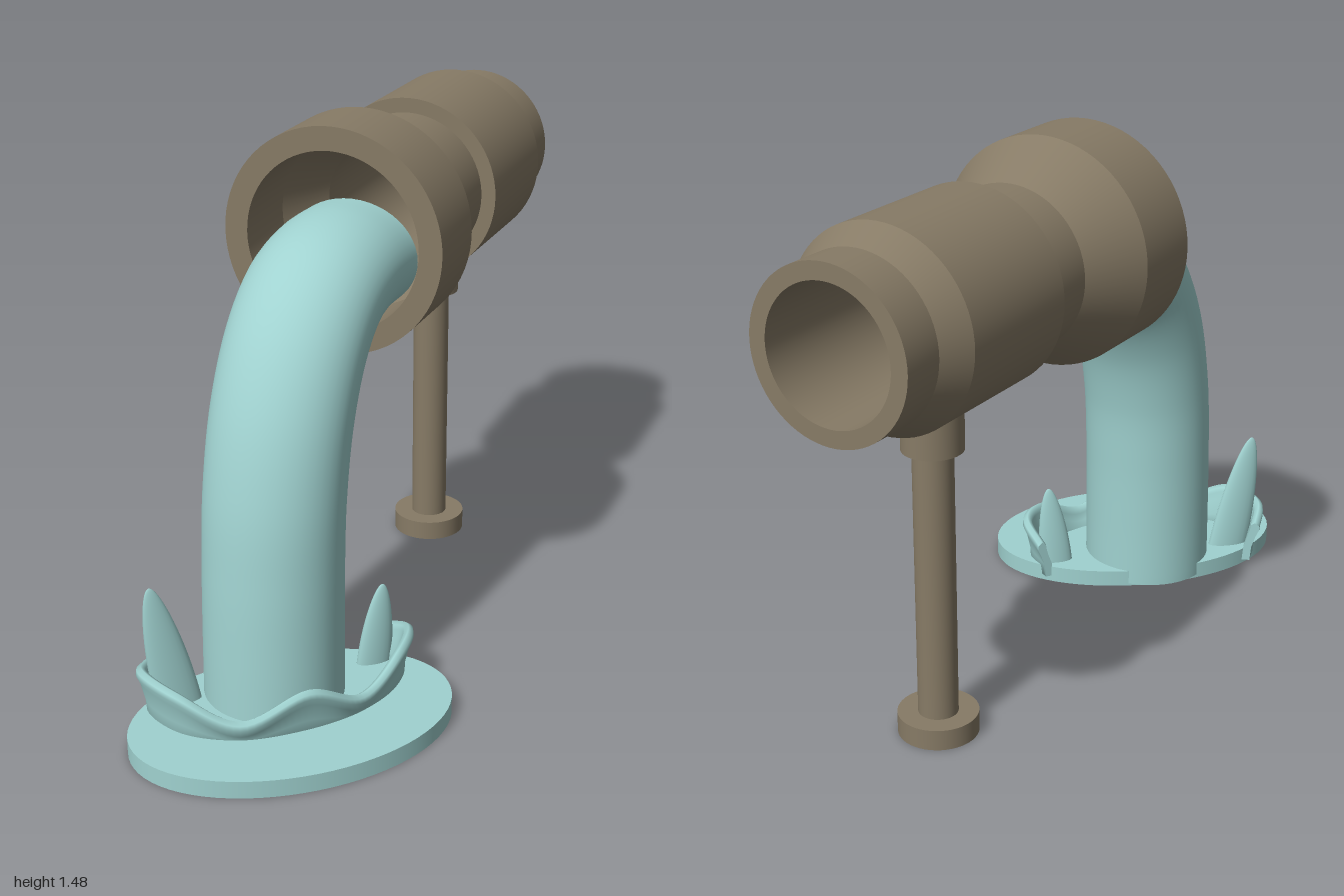
import * as THREE from 'three';
import { mergeGeometries, toCreasedNormals } from 'three/addons/utils/BufferGeometryUtils.js';

const V = (x, y, z) => new THREE.Vector3(x, y, z);
const AXIS_X = -0.075;

// Smooth closed skin through rings of points (counter-clockwise about the travel direction), with flat ends
function loft(rings) {
  const n = rings[0].length;
  const make = (points, index) => {
    const g = new THREE.BufferGeometry().setFromPoints(points);
    g.setIndex(index);
    g.computeVertexNormals();
    return g;
  };
  const side = [];
  for (let i = 0; i < rings.length - 1; i++) {
    for (let j = 0; j < n; j++) {
      const a = i * n + j, b = i * n + (j + 1) % n;
      side.push(a, b, b + n, a, b + n, a + n);
    }
  }
  const cap = (ring, flip) => {
    const centre = ring.reduce((s, p) => s.add(p), V(0, 0, 0)).divideScalar(n);
    const index = [];
    for (let j = 0; j < n; j++) {
      const k = (j + 1) % n;
      index.push(n, flip ? k : j, flip ? j : k);
    }
    return make([...ring, centre], index);
  };
  return mergeGeometries([make(rings.flat(), side), cap(rings[0], true), cap(rings.at(-1), false)]);
}

// Elliptical ring with half axes a along u and b along v
function ellipse(centre, u, v, a, b, n) {
  return Array.from({ length: n }, (_, j) => {
    const t = (j / n) * Math.PI * 2;
    return centre.clone().addScaledVector(u, a * Math.cos(t)).addScaledVector(v, b * Math.sin(t));
  });
}

// Stem rising from the base and bending back into the pipe
function stemGeometry() {
  const path = new THREE.CatmullRomCurve3([
    [0.01, 0.54], [0.2, 0.537], [0.4, 0.53], [0.6, 0.512], [0.8, 0.46],
    [0.96, 0.37], [1.055, 0.26], [1.09, 0.14], [1.092, 0.0],
  ].map(([y, z]) => V(AXIS_X, y, z)));
  const rings = [];
  for (let i = 0; i <= 48; i++) {
    const t = i / 48, u = V(1, 0, 0);
    const v = path.getTangentAt(t).cross(u);
    rings.push(ellipse(path.getPointAt(t), u, v, 0.188, 0.182 - 0.028 * t, 48));
  }
  return loft(rings);
}

// Wavy collar wall with a rounded lip, wrapped around the front of the stem
function collarGeometry() {
  // x, height, z along the lip
  const lip = new THREE.CatmullRomCurve3([
    [-0.375, 0.14, 0.68], [-0.335, 0.172, 0.78], [-0.2, 0.168, 0.842], [-0.04, 0.105, 0.81],
    [0.1, 0.168, 0.7], [0.19, 0.105, 0.57], [0.233, 0.165, 0.42], [0.21, 0.17, 0.3], [0.12, 0.13, 0.24],
  ].map((p) => V(...p)));
  const rings = [];
  for (let i = 0; i <= 80; i++) {
    const p = lip.getPoint(i / 80);
    const out = lip.getTangent(i / 80).setY(0).normalize().cross(V(0, 1, 0));
    const h = p.y;
    const section = [
      [0, h + 0.004], [0.012, h - 0.004], [0.014, h - 0.018], [0.004, h - 0.04], [-0.008, h * 0.45], [-0.012, 0.018],
      [-0.036, 0.018], [-0.032, h * 0.45], [-0.02, h - 0.04], [-0.014, h - 0.018], [-0.012, h - 0.004],
    ];
    rings.push(section.map(([d, y]) => V(p.x, y, p.z).addScaledVector(out, d)));
  }
  return loft(rings);
}

// Blunt flat leaf from base to tip
function leafGeometry(base, tip, width, thick) {
  const u = V(Math.SQRT1_2, 0, -Math.SQRT1_2), v = V(-Math.SQRT1_2, 0, -Math.SQRT1_2);
  const rings = [];
  for (let i = 0; i <= 20; i++) {
    const t = Math.sin((i / 20) * Math.PI / 2);
    const k = Math.max(0.02, Math.sqrt(1 - t * t) * (1 - 0.2 * t) + 0.25 * t * (1 - t));
    rings.push(ellipse(base.clone().lerp(tip, t), u, v, width * k, thick * k, 20));
  }
  return loft(rings);
}

// Hollow stepped pipe lying along z: outside back to front, then the bore front to back
function pipeGeometry() {
  const profile = [
    [0.22, -1], [0.22, -0.88], [0.262, -0.8], [0.262, -0.41], [0.22, -0.41], [0.22, -0.24],
    [0.31, -0.08], [0.31, 0.14], [0.245, 0.14], [0.245, -0.08], [0.175, -0.24], [0.175, -1], [0.22, -1],
  ].map(([r, z]) => new THREE.Vector2(r, z));
  const g = toCreasedNormals(new THREE.LatheGeometry(profile, 72), 0.3);
  return g.rotateX(Math.PI / 2);
}

export function createModel() {
  const group = new THREE.Group();
  const teal = new THREE.MeshStandardMaterial({ color: 0xa0d2d0 });
  teal.name = 'paleTeal';
  const brown = new THREE.MeshStandardMaterial({ color: 0x877b66 });
  brown.name = 'dullBrown';

  const add = (name, geometry, material) => {
    const mesh = new THREE.Mesh(geometry, material);
    mesh.name = name;
    group.add(mesh);
    return mesh;
  };

  // Plant
  const base = add('baseDisc', new THREE.CylinderGeometry(1, 1, 0.048, 72), teal);
  base.scale.set(0.435, 1, 0.29);
  base.rotation.y = Math.PI / 4;
  base.position.set(0.02, 0.024, 0.63);
  add('stem', stemGeometry(), teal);
  add('collar', collarGeometry(), teal);
  add('tallLeaf', leafGeometry(V(-0.275, 0.03, 0.695), V(-0.322, 0.395, 0.745), 0.062, 0.024), teal);
  add('shortLeaf', leafGeometry(V(0.115, 0.03, 0.315), V(0.138, 0.283, 0.305), 0.05, 0.022), teal);

  // Pipe and its stand
  add('pipe', pipeGeometry(), brown).position.set(AXIS_X, 1.165, 0);
  const post = (name, r, y0, y1) =>
    add(name, new THREE.CylinderGeometry(r, r, y1 - y0, 48), brown).position.set(AXIS_X, (y0 + y1) / 2, -0.6);
  post('standFoot', 0.107, 0, 0.057);
  post('standShaft', 0.053, 0.05, 0.82);
  post('standSocket', 0.08, 0.797, 0.93);

  return group;
}
